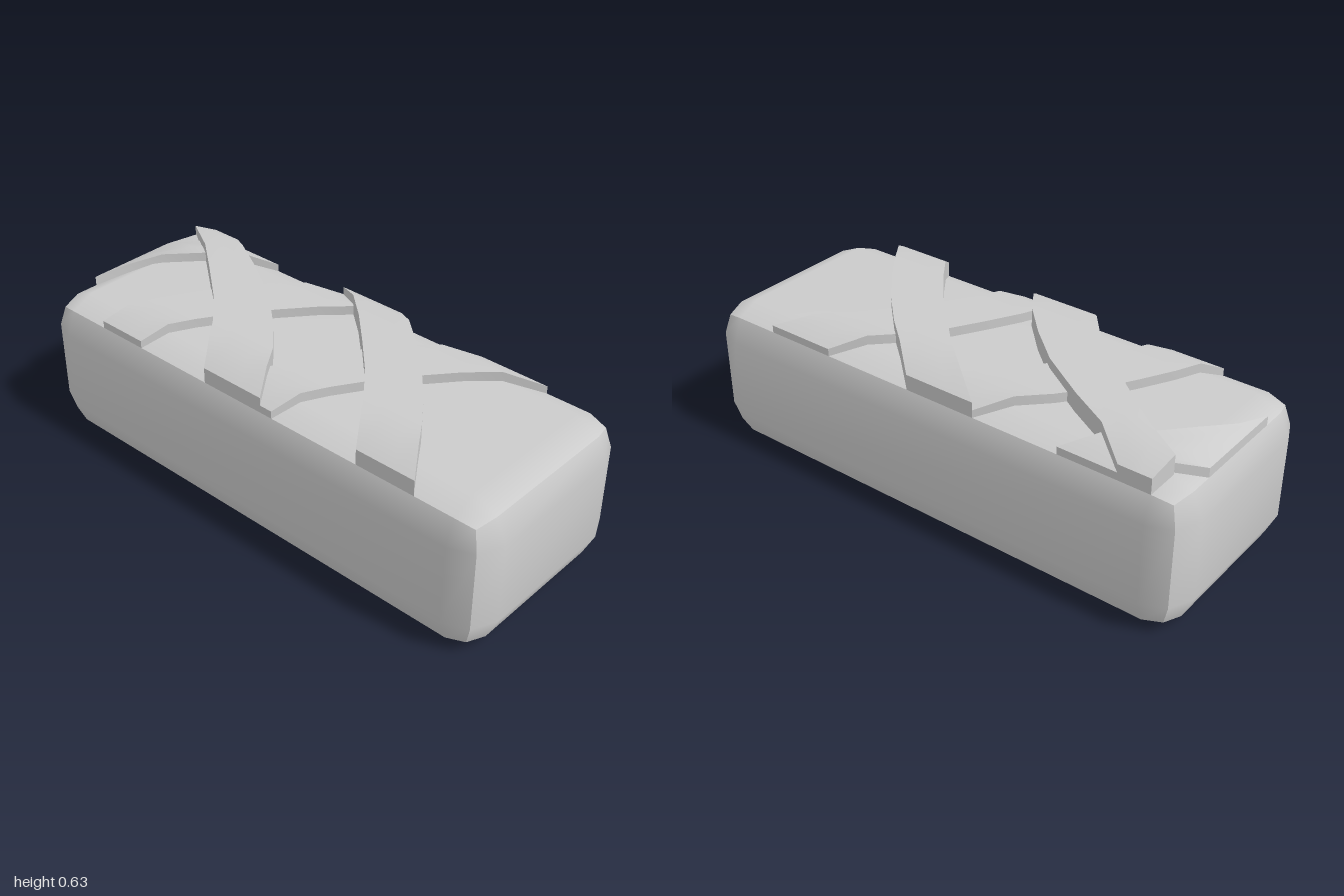
import * as THREE from 'three';
import { toCreasedNormals } from 'three/addons/utils/BufferGeometryUtils.js';

const material = new THREE.MeshStandardMaterial({ color: 0xcccccc });

// Block whose faces bulge outward, with softened corners
function bulgedBlock() {
  const geo = new THREE.BoxGeometry(2, 2, 2, 3, 3, 3);
  const pos = geo.attributes.position;
  // distance from centre per axis: inner line, corner, edge, face
  const levels = [
    [0.87, 0.94, 0.96, 1.0],
    [0.15, 0.225, 0.24, 0.28],
    [0.27, 0.345, 0.36, 0.395],
  ];
  for (let i = 0; i < pos.count; i++) {
    const p = [pos.getX(i), pos.getY(i), pos.getZ(i)];
    const extremes = p.filter((v) => Math.abs(v) > 0.9).length;
    const q = p.map((v, k) => Math.sign(v) * levels[k][Math.abs(v) > 0.9 ? 4 - extremes : 0]);
    pos.setXYZ(i, q[0], q[1] + 0.28, q[2]);
  }
  geo.computeVertexNormals();
  return geo;
}

// Height of the block's top surface
const fall = (v, inner) => Math.max(0, (Math.abs(v) - inner) / 0.09);
const topHeight = (x, z) => 0.56 - 0.04 * Math.min(1.375, fall(x, 0.87) + fall(z, 0.27));

// Strap laid over the top: left and right edge x at each z station
const stations = [-0.36, -0.27, -0.18, -0.06, 0.06, 0.18, 0.27, 0.36];
function strapGeometry(left, right, lift) {
  const cols = 4, ring = cols + 2;
  const points = [], index = [];
  left.forEach((xl, s) => {
    const z = stations[s], xr = right[s];
    for (let c = 0; c < cols; c++) {
      const x = xl + ((xr - xl) * c) / (cols - 1);
      points.push(x, topHeight(x, z) + lift * (1 - 0.2 * fall(z, 0.27)), z);
    }
    for (const x of [xr, xl]) points.push(x, topHeight(x, z) - 0.02, z);
  });
  const last = (left.length - 1) * ring;
  for (let s = 0; s < last; s += ring) {
    for (let j = 0; j < ring; j++) {
      const k = (j + 1) % ring;
      const a = s + j, b = s + k, c = b + ring, d = a + ring;
      index.push(a, d, b, b, d, c);
    }
  }
  // end caps
  for (let j = 1; j < ring - 1; j++) {
    index.push(0, j, j + 1, last, last + j + 1, last + j);
  }
  const geo = new THREE.BufferGeometry();
  geo.setAttribute('position', new THREE.Float32BufferAttribute(points, 3));
  geo.setIndex(index);
  return toCreasedNormals(geo, Math.PI / 5);
}

export function createModel() {
  const group = new THREE.Group();
  const add = (name, geo) => {
    const mesh = new THREE.Mesh(geo, material);
    mesh.name = name;
    group.add(mesh);
  };

  add('block', bulgedBlock());

  // lower straps, running from back left to front right
  const lowLeft = [-0.2, -0.3, -0.39, -0.485, -0.555, -0.62, -0.66, -0.7];
  const lowRight = [0.07, -0.05, -0.145, -0.245, -0.335, -0.41, -0.455, -0.5];
  [0, 0.63].forEach((dx, i) => {
    const shift = (edge) => edge.map((x) => x + dx);
    add('lowerStrap' + (i + 1), strapGeometry(shift(lowLeft), shift(lowRight), 0.035));
  });
  // short strap cut off by the end of the block
  add('lowerStrapEnd', strapGeometry(
    [-0.79, -0.88, -0.96, -0.96, -0.96, -0.96],
    [-0.53, -0.63, -0.74, -0.85, -0.92, -0.96], 0.035));

  // upper straps, crossing over the lower ones
  add('upperStrap1', strapGeometry(
    [-0.87, -0.89, -0.74, -0.59, -0.445, -0.32, -0.245, -0.18],
    [-0.75, -0.63, -0.47, -0.285, -0.15, -0.035, 0.025, 0.08], 0.072));
  add('upperStrap2', strapGeometry(
    [-0.2, -0.075, 0.03, 0.15, 0.265, 0.365, 0.43, 0.49],
    [0.075, 0.18, 0.285, 0.405, 0.51, 0.6, 0.66, 0.72], 0.072));

  return group;
}
